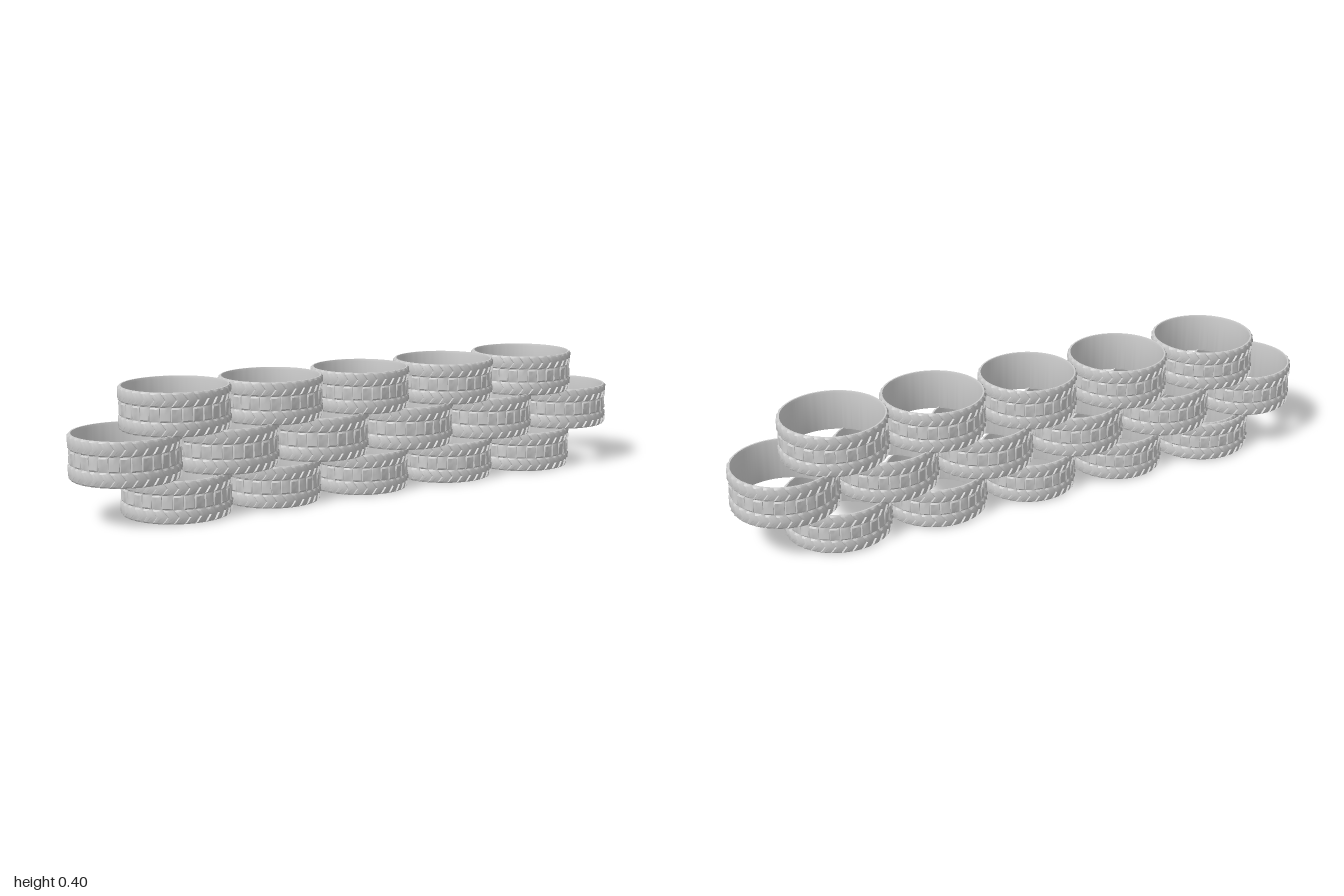
import * as THREE from 'three';
import { toCreasedNormals } from 'three/addons/utils/BufferGeometryUtils.js';

const R = 0.17;          // outer radius of a tyre
const H = 0.132;         // height of a tyre
const N = 32;            // tread blocks around a tyre
const STEPS = [0, 0.1, 0.4, 0.7, 0.95];   // columns inside one block

// Rows of the closed cross-section: three tread bands outside, smooth wall inside.
function tyreRows() {
  const rows = [];
  for (let band = 0; band < 3; band++) {
    for (const v of [0, 0.12, 0.5, 0.88, 1]) {
      rows.push({ y: H * (band + v) / 3, v, chevron: band !== 1, tread: true });
    }
  }
  rows.push({ y: H, r: R - 0.011 }, { y: H - 0.008, r: R - 0.013 });
  rows.push({ y: 0.008, r: R - 0.013 }, { y: 0, r: R - 0.011 });
  return rows;
}

// Radius of the tread: swept saw-tooth lugs on the outer bands, tilted blocks in the middle.
function treadRadius(row, t, block) {
  if (row.v === 0 || row.v === 1) return R - 0.006;
  const saw = t < 0.1 ? t / 0.1 : 1 - (t - 0.1) / 0.9;
  if (row.chevron) return R - 0.005 * (1 - saw);
  const tilt = block % 2 ? row.v : 1 - row.v;
  return R - 0.001 - 0.005 * (t === 0 ? 1 : 1 - tilt * 0.6 - saw * 0.4);
}

function tyreGeometry() {
  const rows = tyreRows();
  const cols = N * STEPS.length;
  const pos = [];
  const index = [];
  for (const row of rows) {
    for (let c = 0; c < cols; c++) {
      const block = Math.floor(c / STEPS.length);
      const t = STEPS[c % STEPS.length];
      // lugs sweep forward towards the middle of their band
      const sweep = row.chevron ? 0.5 * (1 - Math.abs(2 * row.v - 1)) : 0;
      const a = (block + t + sweep) / N * Math.PI * 2;
      const r = row.tread ? treadRadius(row, t, block) : row.r;
      pos.push(r * Math.cos(a), row.y, -r * Math.sin(a));
    }
  }
  for (let i = 0; i < rows.length; i++) {
    const next = (i + 1) % rows.length;
    // touching bands share the same edge, so no strip is needed there
    if (rows[i].tread && rows[next].tread && rows[i].y === rows[next].y) continue;
    for (let c = 0; c < cols; c++) {
      const d = (c + 1) % cols;
      const p = i * cols + c, q = i * cols + d;
      const s = next * cols + c, u = next * cols + d;
      index.push(p, q, u, p, u, s);
    }
  }
  const geo = new THREE.BufferGeometry();
  geo.setAttribute('position', new THREE.Float32BufferAttribute(pos, 3));
  geo.setIndex(index);
  return toCreasedNormals(geo, 0.6);
}

export function createModel() {
  const group = new THREE.Group();
  group.name = 'tyreWall';
  const material = new THREE.MeshStandardMaterial({ color: 0xcccccc, side: THREE.DoubleSide });
  const geometry = tyreGeometry();

  function addTyre(parent, name, x, y, radius, height = H) {
    const tyre = new THREE.Mesh(geometry, material);
    tyre.name = name;
    tyre.scale.set(radius / R, height / H, radius / R);
    // the wall runs slightly forward towards its left end
    tyre.position.set(x, y, 0.058 * x - 0.002);
    parent.add(tyre);
  }

  // Three staggered courses, each with its tyre radii from right to left
  const courses = [
    { name: 'bottomCourse', y: 0.002, height: 0.13, radii: [0.171, 0.157, 0.159, 0.168, 0.171] },
    { name: 'middleCourse', y: 0.131, height: 0.137, radii: [0.17, 0.17, 0.168, 0.168, 0.168, 0.17] },
    { name: 'topCourse', y: 0.263, height: 0.132, radii: [0.171, 0.164, 0.16, 0.167, 0.171] },
  ];
  for (const { name, y, height, radii } of courses) {
    const course = new THREE.Group();
    course.name = name;
    radii.forEach((radius, i) => {
      const x = (i - (radii.length - 1) / 2) * 0.332;
      addTyre(course, 'tyre', x, y, radius, height);
    });
    group.add(course);
  }

  // Smaller tyre nested in the bottom right one
  addTyre(group, 'nestedTyre', -0.664, 0, 0.142, 0.125);
  return group;
}
